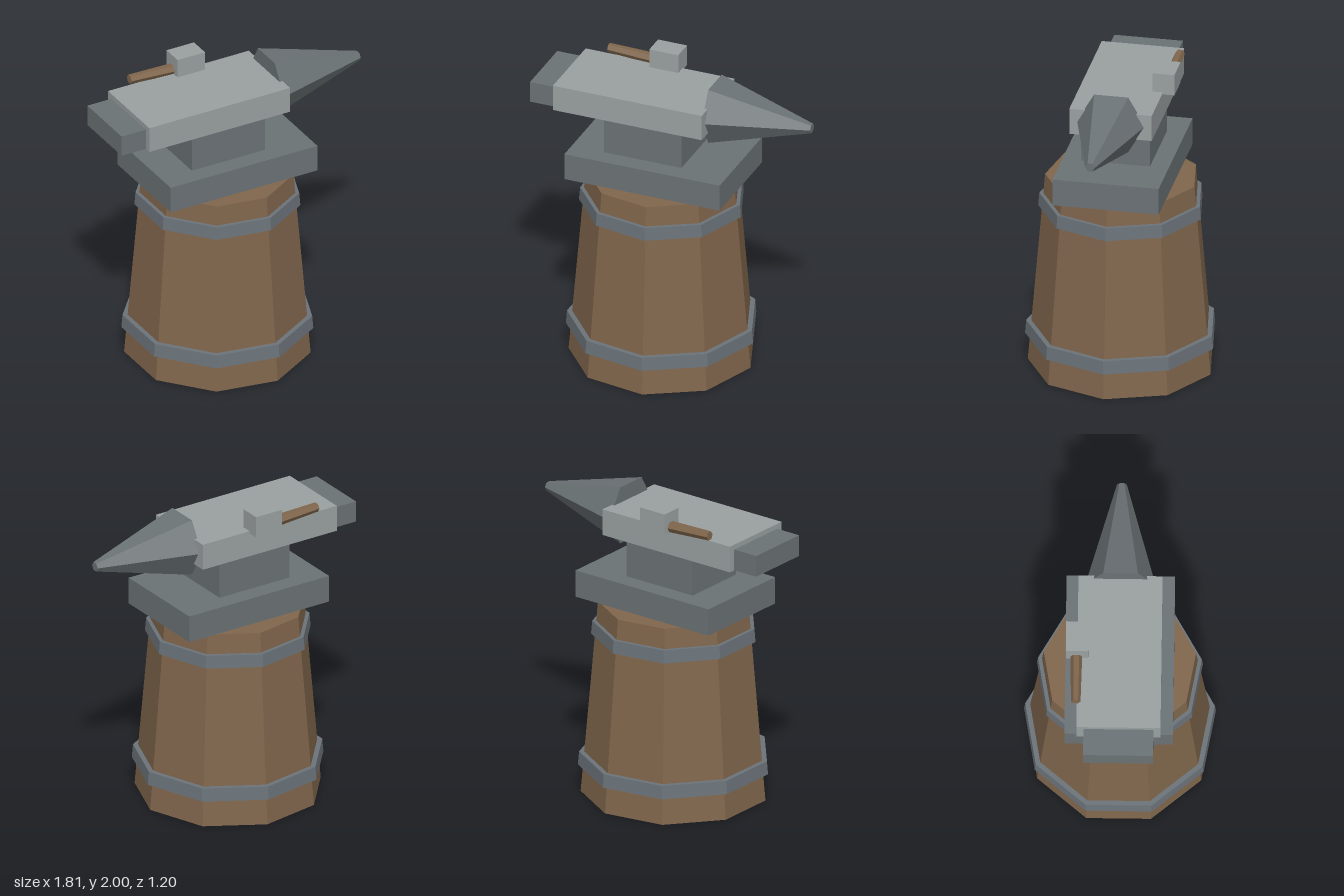
import * as THREE from 'three';

const mat = (color) => new THREE.MeshStandardMaterial({ color, flatShading: true });

export function createModel() {
  const group = new THREE.Group();
  const wood = mat(0x80664c);
  const paleSteel = mat(0x9aa0a0);
  const darkSteel = mat(0x6b7275);
  const hoopSteel = mat(0x6b7379);

  const add = (name, geometry, material) => {
    const mesh = new THREE.Mesh(geometry, material);
    mesh.name = name;
    group.add(mesh);
    return mesh;
  };

  // Box given by its extents on each axis
  const block = (name, [x0, x1], [y0, y1], [z0, z1], material) =>
    add(name, new THREE.BoxGeometry(x1 - x0, y1 - y0, z1 - z0), material)
      .position.set((x0 + x1) / 2, (y0 + y1) / 2, (z0 + z1) / 2);

  // Nine-sided upright drum with a corner towards +x
  const drum = (name, y0, y1, rBottom, rTop, material) =>
    add(name, new THREE.CylinderGeometry(rTop, rBottom, y1 - y0, 9).rotateY(Math.PI / 2), material)
      .position.set(-0.1, (y0 + y1) / 2, 0);

  // Six-sided tapered bar running along x
  const bar = (name, x0, x1, r0, r1, material) => {
    const mesh = add(name, new THREE.CylinderGeometry(r1, r0, x1 - x0, 6).rotateZ(-Math.PI / 2), material);
    mesh.position.x = (x0 + x1) / 2;
    return mesh;
  };

  // Wooden stand with two hoops
  drum('barrel', 0, 1.274, 0.59, 0.482, wood);
  drum('lowerHoop', 0.178, 0.265, 0.607, 0.6, hoopSteel);
  drum('upperHoop', 1.058, 1.143, 0.525, 0.518, hoopSteel);

  // Anvil
  block('anvilBase', [-0.625, 0.424], [1.274, 1.451], [-0.338, 0.338], darkSteel);
  block('anvilWaist', [-0.407, 0.116], [1.451, 1.703], [-0.219, 0.219], darkSteel);
  block('anvilBody', [-0.735, 0.271], [1.703, 1.875], [-0.262, 0.262], paleSteel);
  block('anvilHeel', [-0.908, -0.735], [1.703, 1.842], [-0.218, 0.218], darkSteel);
  bar('anvilHorn', 0.25, 0.906, 0.217, 0.031, darkSteel).position.y = 1.79;

  // Hammer lying on the face
  block('hammerHead', [-0.276, -0.08], [1.861, 2], [-0.334, -0.194], paleSteel);
  const handle = bar('hammerHandle', -0.58, -0.15, 0.03, 0.039, wood);
  handle.position.y = 1.902;
  handle.position.z = -0.268;
  handle.rotation.z = -0.045;

  return group;
}
